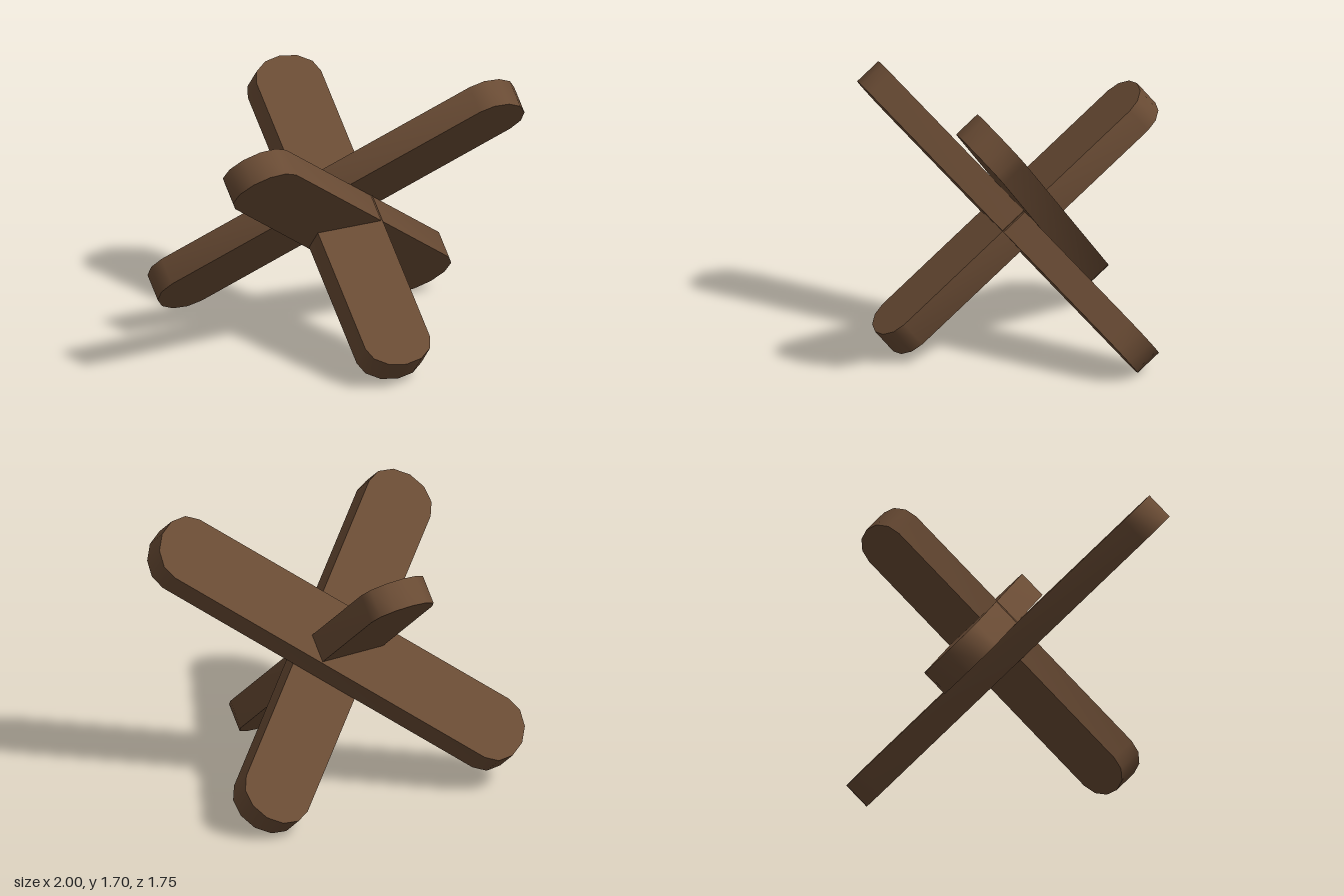
import * as THREE from 'three';
import { toCreasedNormals } from 'three/addons/utils/BufferGeometryUtils.js';

const HALF_WIDTH = 0.217;
const THICKNESS = 0.175;

// Flat bar along y with six-segment rounded ends, centred on its origin
function plankGeometry(halfLength, endDepth) {
  const points = [];
  for (const end of [1, -1]) {
    for (let i = 0; i <= 6; i++) {
      const a = (i / 6) * Math.PI;
      points.push(new THREE.Vector2(
        end * HALF_WIDTH * Math.cos(a),
        end * (halfLength - endDepth + endDepth * Math.sin(a))
      ));
    }
  }
  const geometry = new THREE.ExtrudeGeometry(new THREE.Shape(points), {
    depth: THICKNESS, bevelEnabled: false,
  });
  geometry.translate(0, 0, -THICKNESS / 2);
  return toCreasedNormals(geometry, 0.7);
}

export function createModel() {
  const wood = new THREE.MeshStandardMaterial({ color: 0x694b34 });
  wood.name = 'brown wood';

  const planks = new THREE.Group();
  planks.name = 'crossedPlanks';
  const addPlank = (name, geometry, position, rotation) => {
    const mesh = new THREE.Mesh(geometry, wood);
    mesh.name = name;
    mesh.position.set(...position);
    mesh.rotation.set(...rotation);
    planks.add(mesh);
  };

  // Two long planks crossing at right angles, one layer behind the other
  const longPlank = plankGeometry(1.273, 0.178);
  addPlank('frontPlank', longPlank, [-0.031, 0.02, 0.03], [0, 0, Math.PI / 4]);
  addPlank('backPlank', longPlank, [0.031, 0.02, -0.145], [0, 0, -Math.PI / 4]);

  // Shorter plank passing straight through the crossing
  addPlank('throughPlank', plankGeometry(1.077, 0.15), [0, 0, 0], [Math.PI / 2, 0, 0]);

  // Lean the whole assembly so it rests on the lower ends
  planks.rotation.x = THREE.MathUtils.degToRad(40.5);
  planks.position.y = 0.805;

  const model = new THREE.Group();
  model.name = 'plankCross';
  model.add(planks);
  return model;
}
